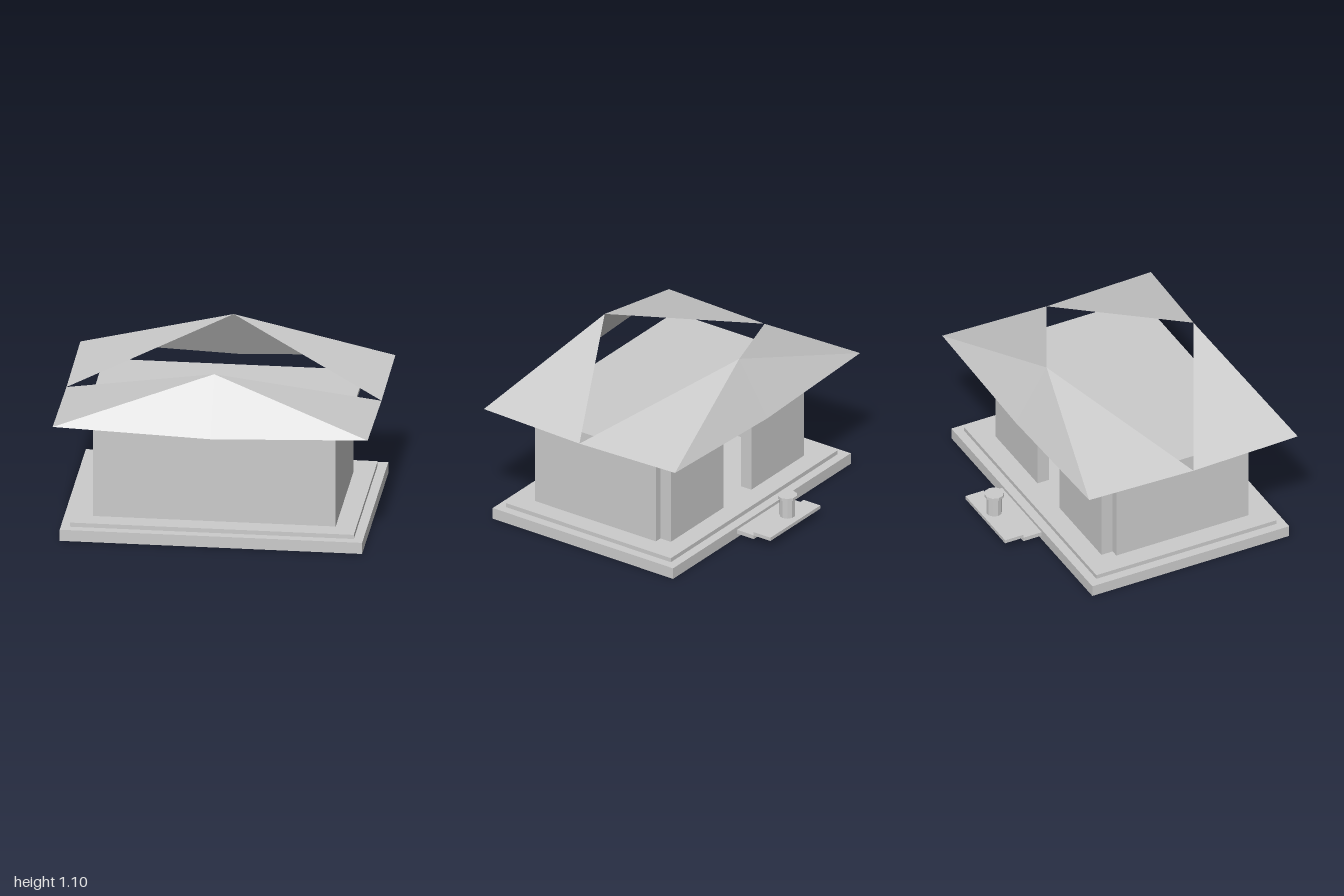
import * as THREE from 'three';

export function createModel() {
  const model = new THREE.Group();
  const solid = new THREE.MeshStandardMaterial({ color: 0xcccccc, flatShading: true });
  const thin = new THREE.MeshStandardMaterial({ color: 0xcccccc, flatShading: true, side: THREE.DoubleSide });

  const add = (name, geometry, material = solid) => {
    const mesh = new THREE.Mesh(geometry, material);
    mesh.name = name;
    model.add(mesh);
    return mesh;
  };
  // Box given by its limits on each axis
  const box = (name, x0, x1, y0, y1, z0, z1) =>
    add(name, new THREE.BoxGeometry(x1 - x0, y1 - y0, z1 - z0))
      .position.set((x0 + x1) / 2, (y0 + y1) / 2, (z0 + z1) / 2);

  // Stepped plinth and ceiling slab
  box('plinth', -0.96, 0.96, 0, 0.075, -0.59, 0.81);
  box('floor', -0.9, 0.9, 0.075, 0.103, -0.53, 0.75);
  box('ceiling', -0.83, 0.83, 0.72, 0.743, -0.465, 0.685);

  // Hollow room with the doorway in the back wall
  box('frontWall', -0.69, 0.69, 0.103, 0.72, 0.54, 0.62);
  for (const s of [-1, 1]) {
    const side = s < 0 ? 'right' : 'left';
    const span = (a, b) => (s > 0 ? [a, b] : [-b, -a]);
    box(side + 'Wall', ...span(0.69, 0.77), 0.103, 0.72, -0.32, 0.62);
    box(side + 'BackWall', ...span(0.15, 0.72), 0.103, 0.72, -0.4, -0.32);
  }
  box('doorLintel', -0.15, 0.15, 0.605, 0.72, -0.4, -0.32);
  box('doorPlaque', -0.105, 0.105, 0.57, 0.67, -0.42, -0.41);

  // Entry steps
  box('innerStep', -0.27, 0.27, 0.028, 0.055, -0.72, -0.59);
  box('outerStep', -0.27, 0.27, 0.055, 0.078, -0.85, -0.72);

  // Urn above the outer step
  const urn = (name, r, y0, y1) => {
    const mesh = add(name, new THREE.CylinderGeometry(r, r, y1 - y0, 10));
    mesh.position.set(0, (y0 + y1) / 2, -0.787);
    mesh.rotation.y = Math.PI / 2;
  };
  urn('urnBody', 0.05, 0.105, 0.233);
  urn('urnRim', 0.063, 0.233, 0.252);

  // Two thin roof halves meeting only at the middle of the side eaves
  const roofHalf = (name, zEave, zPeak, s) => {
    const zMid = 0.108;
    const points = [
      -1, 0.785, zEave, 0, 0.748, zEave, 1, 0.785, zEave,
      0, 1.103, zPeak, -1, 0.766, zMid, 1, 0.766, zMid,
    ];
    const faces = [[0, 1, 3], [1, 2, 3], [2, 5, 3], [4, 0, 3]];
    const geometry = new THREE.BufferGeometry();
    geometry.setAttribute('position', new THREE.Float32BufferAttribute(points, 3));
    geometry.setIndex(faces.flatMap(([a, b, c]) => (s > 0 ? [a, b, c] : [a, c, b])));
    const flat = geometry.toNonIndexed();
    flat.computeVertexNormals();
    add(name, flat, thin);
  };
  roofHalf('frontRoof', 0.85, 0.63, 1);
  roofHalf('backRoof', -0.634, -0.414, -1);

  return model;
}
